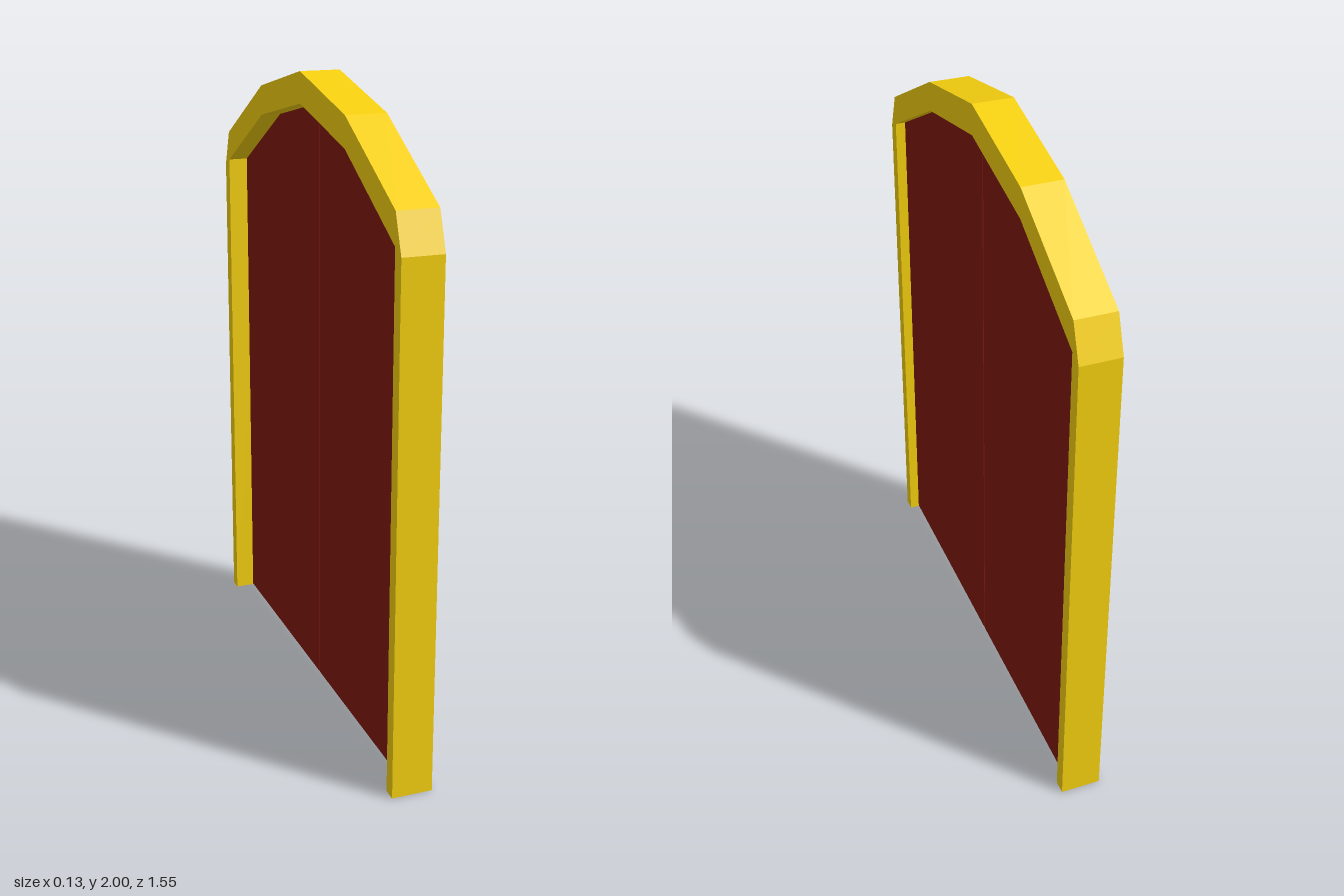
import * as THREE from 'three';

const gold = new THREE.MeshStandardMaterial({ color: 0xf5d00f, flatShading: true });
const red = new THREE.MeshStandardMaterial({ color: 0x80180f, flatShading: true });

// Half outlines as [z, y], from the floor up to the apex
const outer = [[0.777, 0], [0.777, 1.605], [0.735, 1.72], [0.369, 1.918], [0, 2]];
const inner = [[0.735, 0], [0.735, 1.625], [0.369, 1.825], [0, 1.905]];
const mirror = (pts) => pts.map(([z, y]) => [-z, y]);
const toShape = (pts) => new THREE.Shape(pts.map(([z, y]) => new THREE.Vector2(z, y)));

// Extrude a z-y outline between two x positions
function slab(name, pts, x0, x1, material) {
  const geo = new THREE.ExtrudeGeometry(toShape(pts), { depth: x1 - x0, bevelEnabled: false });
  geo.rotateY(-Math.PI / 2);
  geo.translate(x1, 0, 0);
  const mesh = new THREE.Mesh(geo, material);
  mesh.name = name;
  return mesh;
}

export function createModel() {
  const group = new THREE.Group();
  group.name = 'archedDoubleDoor';

  // Arched frame, open at the floor
  const arch = (half) => [...half, ...mirror(half.slice(0, -1)).reverse()];
  group.add(slab('doorFrame', [...arch(outer), ...arch(inner).reverse()], -0.063, 0.063, gold));

  // Two door leaves with a thin gap between them
  const gap = 0.003;
  const leaf = [[gap, 0.003], [0.735, 0.003], ...inner.slice(1, -1), [gap, 1.904]];
  group.add(slab('frontDoorLeaf', leaf, 0, 0.031, red));
  group.add(slab('backDoorLeaf', mirror(leaf), 0, 0.031, red));

  return group;
}
